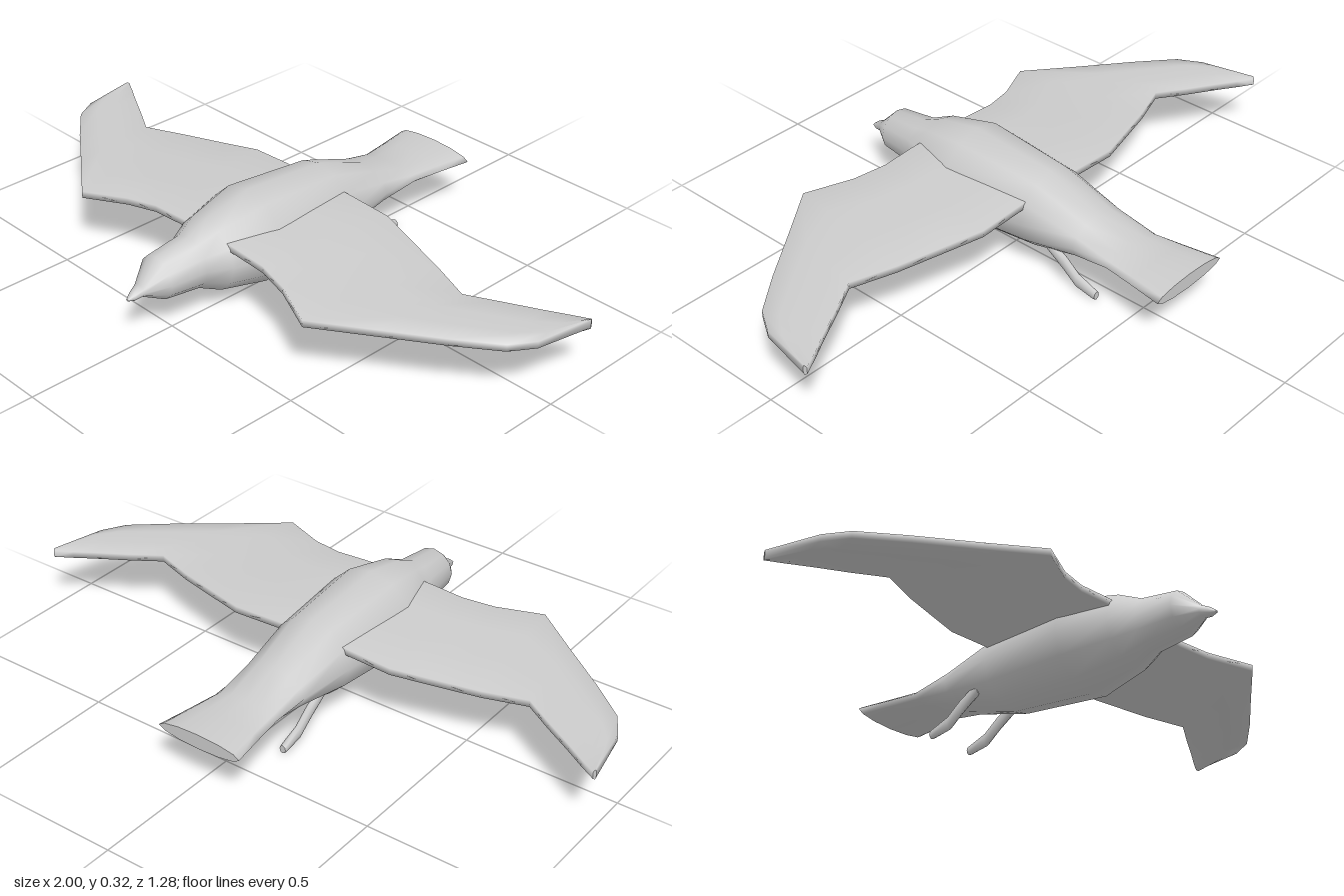
import * as THREE from 'three';

const CX = -0.022; // body axis

// Skin a list of closed rings (arrays of [x, y, z]) and cap both ends
function loft(rings, flip = false) {
  const n = rings[0].length, pos = [], idx = [];
  const tri = (a, b, c) => (flip ? idx.push(a, c, b) : idx.push(a, b, c));
  rings.forEach((r) => r.forEach((p) => pos.push(...p)));
  for (let i = 0; i < rings.length - 1; i++) {
    for (let j = 0; j < n; j++) {
      const a = i * n + j, b = i * n + ((j + 1) % n);
      tri(a, b, a + n);
      tri(b, b + n, a + n);
    }
  }
  [rings[0], rings[rings.length - 1]].forEach((r, end) => {
    const base = pos.length / 3;
    r.forEach((p) => pos.push(...p));
    for (let j = 1; j < n - 1; j++) {
      if (end) tri(base, base + j, base + j + 1);
      else tri(base, base + j + 1, base + j);
    }
  });
  const g = new THREE.BufferGeometry();
  g.setAttribute('position', new THREE.Float32BufferAttribute(pos, 3));
  g.setIndex(idx);
  g.computeVertexNormals();
  return g;
}

// Upright elliptical ring spanning y = bottom..top at depth z
function ellipse(cx, z, top, bottom, half, n) {
  return Array.from({ length: n }, (_, k) => {
    const a = (k / n) * Math.PI * 2;
    return [cx + half * Math.cos(a), (top + bottom) / 2 + ((top - bottom) / 2) * Math.sin(a), z];
  });
}

export function createModel() {
  const group = new THREE.Group();
  const material = new THREE.MeshStandardMaterial({ color: 0xcccccc });
  const add = (name, geometry) => {
    const mesh = new THREE.Mesh(geometry, material);
    mesh.name = name;
    group.add(mesh);
  };

  // Tail, body, head and beak in one skin: [z, top, bottom, half width]
  const body = [
    [-0.64, 0.185, 0.137, 0.145],
    [-0.53, 0.185, 0.137, 0.127],
    [-0.43, 0.185, 0.137, 0.112],
    [-0.3, 0.23, 0.104, 0.114],
    [-0.115, 0.3, 0.05, 0.135],
    [0.18, 0.325, 0.024, 0.16],
    [0.34, 0.29, 0.058, 0.118],
    [0.41, 0.257, 0.092, 0.083],
    [0.53, 0.243, 0.106, 0.07],
    [0.595, 0.178, 0.14, 0.024],
    [0.62, 0.165, 0.136, 0.015],
    [0.64, 0.148, 0.142, 0.005],
  ];
  add('body', loft(body.map(([z, t, b, h]) => ellipse(CX, z, t, b, h, 12))));

  // Wing stations: [front x, front z, back x, back z, mid height]
  const wing = [
    [0, 0.34, 0, -0.115, 0.236],
    [0.12, 0.34, 0.12, -0.115, 0.233],
    [0.235, 0.34, 0.285, -0.115, 0.226],
    [0.34, 0.365, 0.4, -0.08, 0.218],
    [0.483, 0.43, 0.55, -0.035, 0.209],
    [0.64, 0.315, 0.685, 0.015, 0.204],
    [0.8, 0.2, 0.78, -0.04, 0.2],
    [0.92, 0.105, 0.88, -0.095, 0.197],
    [0.965, 0.03, 0.94, -0.13, 0.195],
    [1, -0.15, 0.995, -0.16, 0.194],
  ];
  // Flat section with a slightly fuller middle: [chord position, half thickness]
  const section = [[0, 0.011], [0.3, 0.016], [0.65, 0.014], [1, 0.011]];
  for (const side of [1, -1]) {
    const rings = wing.map(([fx, fz, bx, bz, y]) => {
      const point = ([t, h], s) => {
        const d = fx + (bx - fx) * t;
        return [side * d + CX * (1 - d), y + s * h, fz + (bz - fz) * t];
      };
      const top = section.map((p) => point(p, 1)).reverse();
      return [...top, ...section.map((p) => point(p, -1))];
    });
    add(side > 0 ? 'leftWing' : 'rightWing', loft(rings, side < 0));
  }

  // Trailing legs, from toes up into the belly: [z, top, bottom, half width]
  const leg = [
    [-0.373, 0.03, 0.003, 0.011],
    [-0.365, 0.033, 0.003, 0.012],
    [-0.3, 0.06, 0.013, 0.012],
    [-0.25, 0.1, 0.052, 0.012],
    [-0.18, 0.14, 0.1, 0.012],
  ];
  for (const side of [1, -1]) {
    const rings = leg.map(([z, t, b, h]) => ellipse(CX + side * 0.085, z, t, b, h, 8));
    add(side > 0 ? 'leftLeg' : 'rightLeg', loft(rings));
  }
  return group;
}
